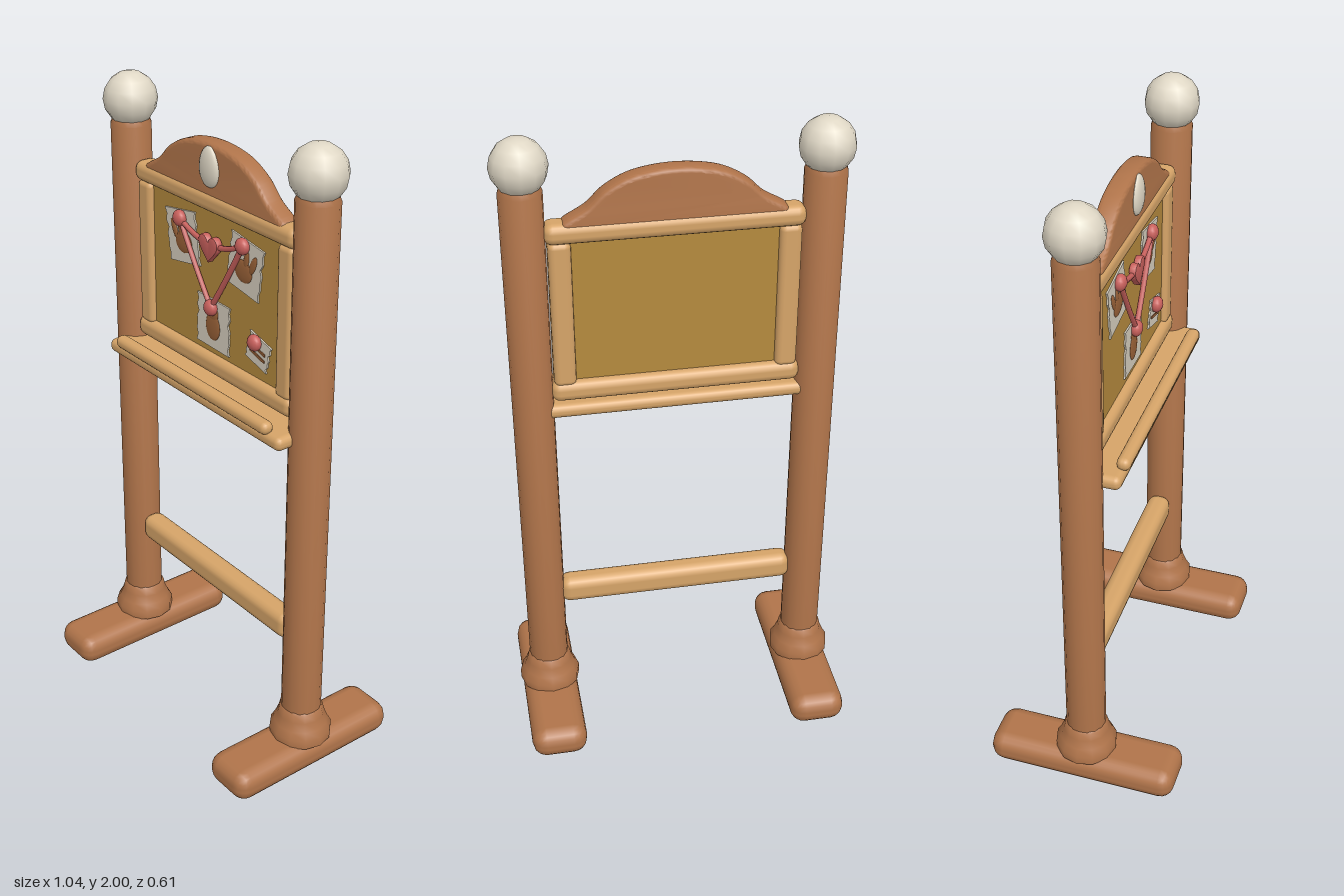
import * as THREE from 'three';
import { toCreasedNormals } from 'three/addons/utils/BufferGeometryUtils.js';
import { RoundedBoxGeometry } from 'three/addons/geometries/RoundedBoxGeometry.js';

const mat = (color) => new THREE.MeshStandardMaterial({ color });
const M = {
  wood: mat(0xb0744a), trim: mat(0xd6a468), cork: mat(0xb58a3e), ivory: mat(0xe0d8c6),
  paper: mat(0xd8d0c0), red: mat(0xc8605c), drawing: mat(0x9a6238),
};

export function createModel() {
  const root = new THREE.Group();
  root.name = 'noticeBoard';

  const add = (name, geo, material, x = 0, y = 0, z = 0, parent = root) => {
    const mesh = new THREE.Mesh(geo, material);
    mesh.name = name;
    mesh.position.set(x, y, z);
    parent.add(mesh);
    return mesh;
  };
  // Rounded bar given by its size and centre
  const bar = (name, material, w, h, d, x, y, z, r) =>
    add(name, new RoundedBoxGeometry(w, h, d, 2, r), material, x, y, z);
  const extrude = (shape, depth, bevel, segments = 2) => toCreasedNormals(
    new THREE.ExtrudeGeometry(shape, {
      depth, bevelEnabled: bevel > 0, bevelSize: bevel, bevelThickness: bevel,
      bevelOffset: -bevel, bevelSegments: segments, curveSegments: 8,
    }), 0.7);
  const lathe = (points, n) =>
    toCreasedNormals(new THREE.LatheGeometry(points.map((p) => new THREE.Vector2(...p)), n), 0.8);

  // Feet, posts, collars and ball finials
  for (const [side, s] of [['left', 1], ['right', -1]]) {
    const x = s * 0.425;
    bar(side + 'Foot', M.wood, 0.176, 0.102, 0.606, x, 0.056, 0, 0.045);
    add(side + 'Post', lathe([[0, 0.1], [0.062, 0.1], [0.062, 1.845], [0.054, 1.865], [0, 1.872]], 16), M.wood, x);
    add(side + 'Collar', lathe([[0, 0.1], [0.096, 0.1], [0.097, 0.13], [0.084, 0.152],
      [0.073, 0.18], [0.067, 0.205], [0.06, 0.212]], 12), M.wood, x);
    add(side + 'Finial', new THREE.SphereGeometry(0.082, 12, 8), M.ivory, x, 1.918);
    bar(side + 'FrameStile', M.trim, 0.065, 0.46, 0.065, s * 0.328, 1.465, -0.002, 0.018);
  }

  // Rails, tray and stretcher between the posts
  bar('topRail', M.trim, 0.74, 0.062, 0.076, 0, 1.72, -0.002, 0.025);
  bar('bottomRail', M.trim, 0.74, 0.064, 0.076, 0, 1.217, -0.002, 0.025);
  bar('tray', M.trim, 0.84, 0.044, 0.148, 0, 1.149, 0.038, 0.02);
  bar('trayLip', M.trim, 0.74, 0.04, 0.042, 0, 1.181, 0.102, 0.019);
  bar('stretcher', M.trim, 0.75, 0.088, 0.075, 0, 0.465, 0, 0.03);

  // Cork panel
  add('corkPanel', new THREE.BoxGeometry(0.64, 0.48, 0.026), M.cork, 0, 1.465, 0);

  // Arched crest with an oval stud
  const half = [[0.31, 1.755], [0.25, 1.79], [0.195, 1.84], [0.115, 1.878]];
  const crest = new THREE.Shape();
  crest.moveTo(-0.325, 1.735);
  crest.lineTo(0.325, 1.735);
  crest.splineThru([...half, [0, 1.892], ...half.slice().reverse().map(([x, y]) => [-x, y]),
    [-0.325, 1.735]].map((p) => new THREE.Vector2(...p)));
  add('crest', extrude(crest, 0.036, 0.013, 3), M.wood, 0, 0, -0.02);
  const egg = new THREE.SphereGeometry(1, 16, 12);
  const ep = egg.attributes.position;
  for (let i = 0; i < ep.count; i++) {
    const y = ep.getY(i), k = 1 - 0.15 * y;
    ep.setXYZ(i, ep.getX(i) * 0.043 * k, y * 0.06, ep.getZ(i) * 0.016);
  }
  egg.computeVertexNormals();
  add('crestStud', egg, M.ivory, 0, 1.826, 0.03);

  // Paper sheets with slightly wavy side edges
  const sheet = (name, w, h, x, y, angle) => {
    const group = new THREE.Group();
    group.name = name;
    group.position.set(x, y, 0.012);
    group.rotation.z = angle;
    root.add(group);
    const shape = new THREE.Shape();
    const n = 8;
    const wobble = (i) => (i % 2 ? 0.003 : 0) * (1 + (i % 3));
    shape.moveTo(-w / 2, -h / 2);
    for (let i = 0; i <= n; i++) shape.lineTo(w / 2 - wobble(i), -h / 2 + (h * i) / n);
    for (let i = n; i > 0; i--) shape.lineTo(-w / 2 + wobble(i), -h / 2 + (h * i) / n);
    add('paper', extrude(shape, 0.006, 0), M.paper, 0, 0, 0, group);
    return group;
  };
  const blob = (parent, name, rx, ry, x, y, angle = 0) => {
    const m = add(name, new THREE.SphereGeometry(1, 14, 8), M.drawing, x, y, 0.006, parent);
    m.scale.set(rx, ry, 0.005);
    m.rotation.z = angle;
  };
  // Two mirrored sketches, each a round body with raised ears
  for (const s of [-1, 1]) {
    const p = sheet(s < 0 ? 'rightSketch' : 'leftSketch', 0.148, 0.16, s * 0.147, 1.574, -s * 0.16);
    blob(p, 'sketchBody', 0.04, 0.034, -s * 0.004, -0.017);
    blob(p, 'sketchEar', 0.012, 0.033, s * 0.034, 0.018, -s * 0.3);
    blob(p, 'sketchInnerEar', 0.011, 0.03, s * 0.004, 0.022, 0);
  }
  const portrait = sheet('lowerSketch', 0.155, 0.155, 0, 1.345, -0.03);
  blob(portrait, 'sketchBody', 0.034, 0.044, 0, -0.008);
  blob(portrait, 'sketchHead', 0.024, 0.028, 0, 0.035);
  const note = sheet('smallNote', 0.1, 0.088, 0.21, 1.335, -0.27);
  for (const [w, x, y] of [[0.055, 0.004, 0.008], [0.045, -0.01, -0.012], [0.03, 0.02, -0.012]])
    add('noteLine', new THREE.BoxGeometry(w, 0.008, 0.004), M.drawing, x, y, 0.007, note);

  // Round pins
  const pins = [[-0.148, 1.632], [0.146, 1.636], [0, 1.4], [0.204, 1.364]];
  for (const [x, y] of pins) {
    const pin = add('pin', new THREE.SphereGeometry(0.025, 14, 10), M.red, x, y, 0.027);
    pin.scale.z = 0.75;
  }

  // Strings joining the pins, the upper one sagging to the heart
  const string = (a, b, sag) => {
    const p = new THREE.Vector3(a[0], a[1], 0.026);
    const q = new THREE.Vector3(b[0], b[1], 0.026);
    const mid = p.clone().lerp(q, 0.5);
    mid.y -= sag;
    add('string', new THREE.TubeGeometry(new THREE.QuadraticBezierCurve3(p, mid, q), 12, 0.0085, 6), M.red);
  };
  string(pins[0], pins[1], 0.08);
  string(pins[0], pins[2], 0.012);
  string(pins[1], pins[2], 0.012);

  // Heart
  const heart = new THREE.Shape();
  heart.moveTo(0, -0.045);
  heart.bezierCurveTo(0.02, -0.02, 0.046, -0.006, 0.044, 0.015);
  heart.bezierCurveTo(0.042, 0.042, 0.006, 0.042, 0, 0.016);
  heart.bezierCurveTo(-0.006, 0.042, -0.042, 0.042, -0.044, 0.015);
  heart.bezierCurveTo(-0.046, -0.006, -0.02, -0.02, 0, -0.045);
  add('heart', extrude(heart, 0.014, 0.004), M.red, 0, 1.588, 0.02);

  return root;
}
